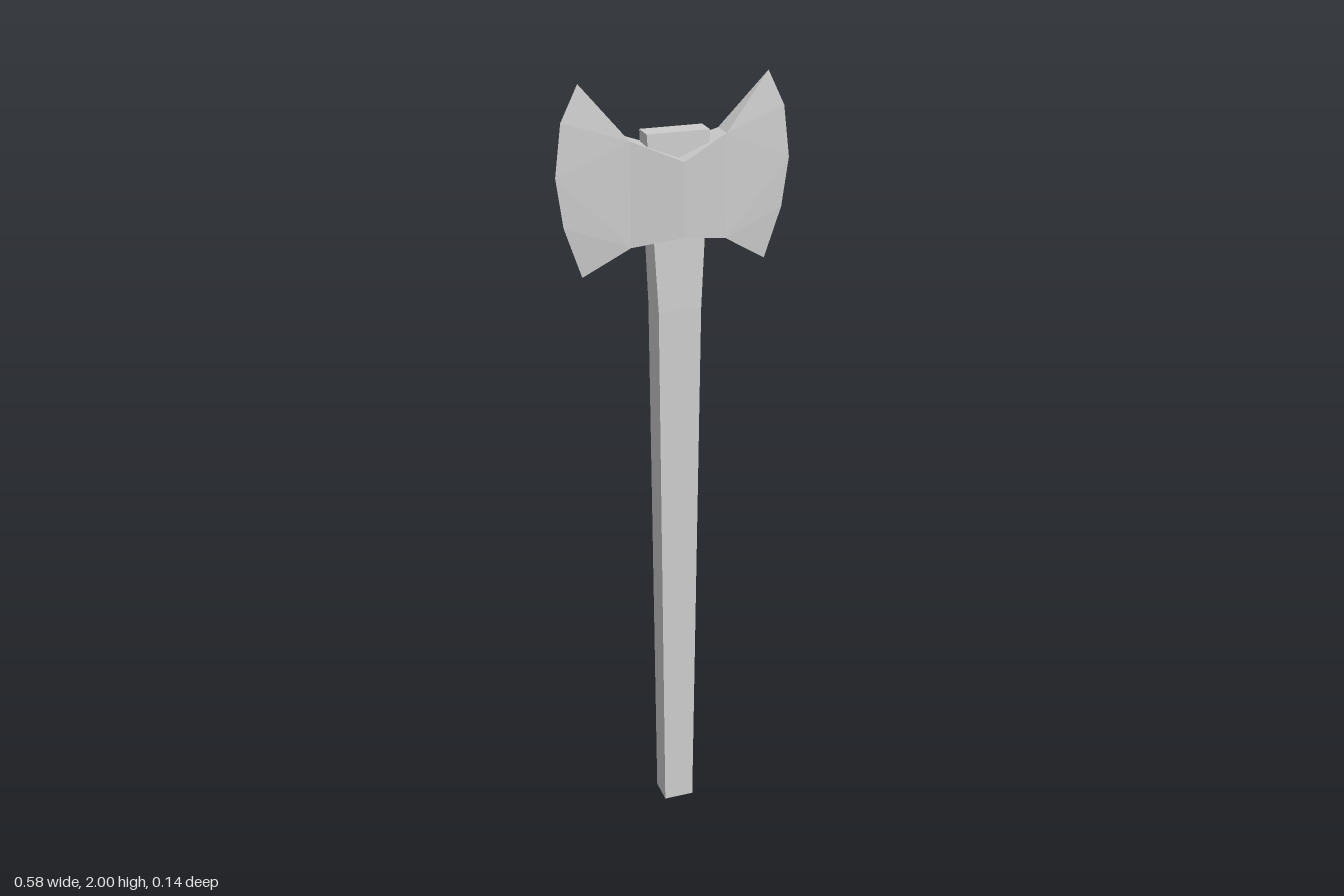
import * as THREE from 'three';

// Flat-shaded mesh from a list of convex polygons (corners counter-clockwise from outside)
function polyMesh(name, polygons, material) {
  const pos = [];
  for (const p of polygons)
    for (let i = 1; i < p.length - 1; i++) pos.push(...p[0], ...p[i], ...p[i + 1]);
  const geo = new THREE.BufferGeometry();
  geo.setAttribute('position', new THREE.Float32BufferAttribute(pos, 3));
  geo.computeVertexNormals();
  const mesh = new THREE.Mesh(geo, material);
  mesh.name = name;
  return mesh;
}

// Handle: rectangular sections [y, half width, half depth], flaring toward the top
function handlePolygons() {
  const rings = [[0, 0.04, 0.036], [1.45, 0.054, 0.04], [1.88, 0.077, 0.028]].map(([y, w, d]) =>
    [[-w, y, d], [w, y, d], [w, y, -d], [-w, y, -d]]);
  const polys = [[...rings[0]].reverse(), rings[2]];
  for (let r = 0; r < 2; r++)
    for (let i = 0; i < 4; i++) {
      const j = (i + 1) % 4;
      polys.push([rings[r][i], rings[r][j], rings[r + 1][j], rings[r + 1][i]]);
    }
  return polys;
}

// Double-bitted head: one quarter, mirrored across x and z
function headPolygons() {
  const midTop = [0, 1.82, 0.069], midBottom = [0, 1.64, 0.069];
  const neckTop = [0.118, 1.868, 0.029], neckBottom = [0.118, 1.615, 0.029];
  const edge = [[0.23, 2, 0], [0.272, 1.915, 0], [0.288, 1.79, 0], [0.272, 1.67, 0], [0.23, 1.545, 0]];
  const inner = ([x, y]) => [x, y, 0];
  const quarter = [
    [midBottom, neckBottom, neckTop, midTop], // cheek
    [neckTop, edge[1], edge[0]], // blade facets
    [neckTop, edge[2], edge[1]],
    [neckTop, neckBottom, edge[2]],
    [neckBottom, edge[3], edge[2]],
    [neckBottom, edge[4], edge[3]],
    [midTop, neckTop, inner(neckTop), inner(midTop)], // top and underside
    [neckTop, edge[0], inner(neckTop)],
    [midBottom, inner(midBottom), inner(neckBottom), neckBottom],
    [neckBottom, inner(neckBottom), edge[4]],
  ];
  const polys = [];
  for (const sx of [1, -1])
    for (const sz of [1, -1])
      for (const q of quarter) {
        const p = q.map(([x, y, z]) => [x * sx, y, z * sz]);
        polys.push(sx * sz < 0 ? p.reverse() : p);
      }
  return polys;
}

export function createModel() {
  const grey = new THREE.MeshStandardMaterial({ color: 0xcccccc });
  grey.name = 'light grey';
  const group = new THREE.Group();
  group.name = 'battleAxe';
  group.add(polyMesh('handle', handlePolygons(), grey));
  group.add(polyMesh('axeHead', headPolygons(), grey));
  return group;
}
